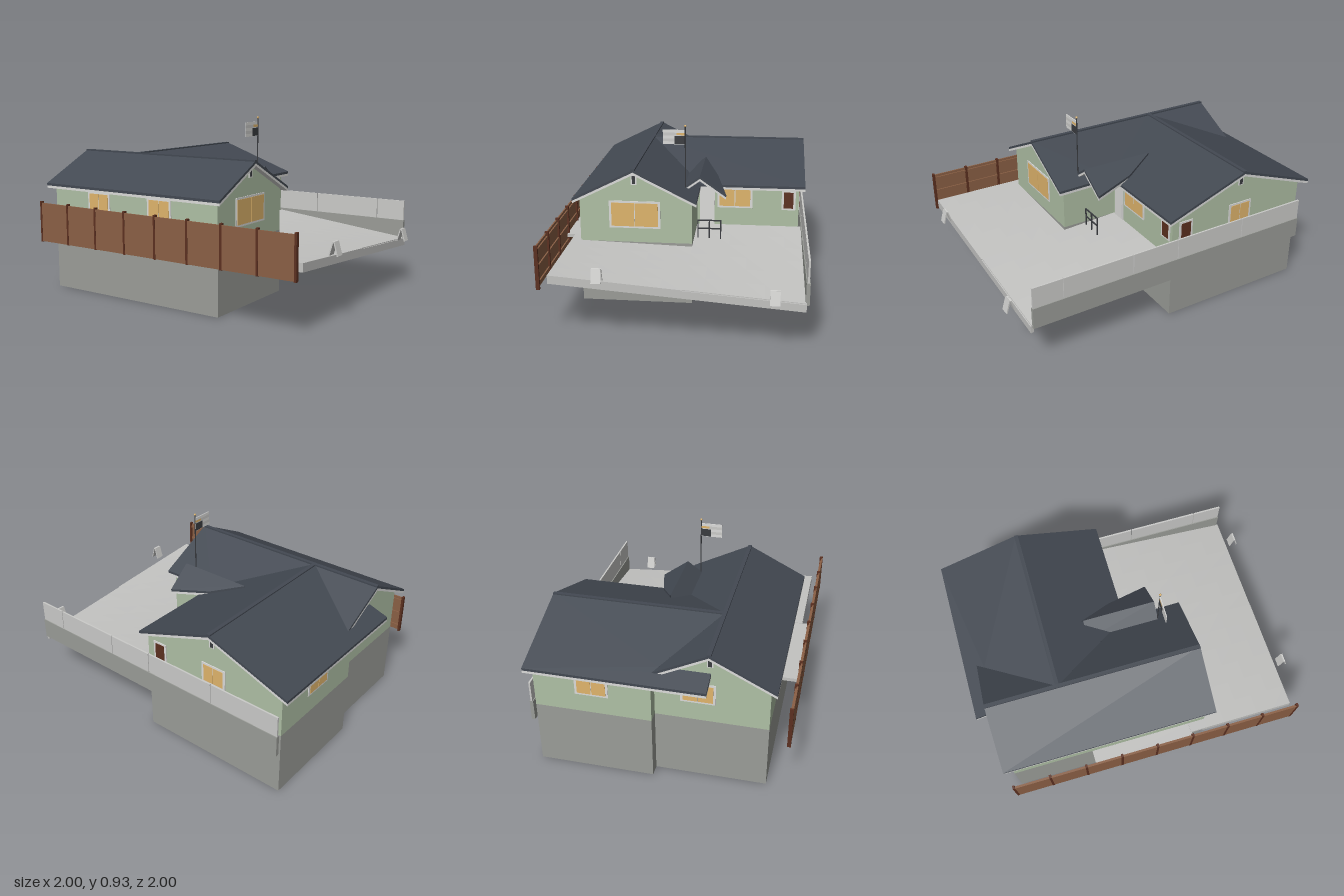
import * as THREE from 'three';

const mat = (name, color) => {
  const m = new THREE.MeshStandardMaterial({ color });
  m.name = name;
  return m;
};

// Plan coordinates: u runs along the front of the house, v runs towards the back.
export function createModel() {
  const M = {
    roof: mat('slate roof', 0x434952), wall: mat('sage siding', 0xafc0a5),
    base: mat('foundation grey', 0x9b9d98), slab: mat('pale concrete', 0xc3c3c1),
    rail: mat('light panel', 0xcbcbc9), trim: mat('white trim', 0xdcdcda),
    glass: mat('warm glass', 0xe0b56c), door: mat('dark red brown', 0x5c3020),
    wood: mat('fence brown', 0x8b6045), metal: mat('dark metal', 0x3a3c40),
  };
  const root = new THREE.Group();
  root.name = 'house';
  const plan = new THREE.Group();
  plan.name = 'plot';
  plan.rotation.y = -0.6387;
  root.add(plan);

  const add = (name, geo, m, parent = plan) => {
    const mesh = new THREE.Mesh(geo, m);
    mesh.name = name;
    parent.add(mesh);
    return mesh;
  };
  // Box between plan limits
  const box = (name, u0, u1, y0, y1, v0, v1, m) => {
    const b = add(name, new THREE.BoxGeometry(u1 - u0, y1 - y0, v1 - v0), m);
    b.position.set((u0 + u1) / 2, (y0 + y1) / 2, -(v0 + v1) / 2);
    return b;
  };
  // Prism on a plan polygon, between two height functions
  const prism = (name, poly, top, bottom, m) => {
    const p = poly.map(([u, v]) => new THREE.Vector2(u, v));
    if (THREE.ShapeUtils.isClockWise(p)) p.reverse();
    const pos = [];
    const put = (q, f) => pos.push(q.x, f(q.x, q.y), -q.y);
    for (const [a, b, c] of THREE.ShapeUtils.triangulateShape(p, [])) {
      [a, b, c].forEach(i => put(p[i], top));
      [c, b, a].forEach(i => put(p[i], bottom));
    }
    p.forEach((a, i) => {
      const b = p[(i + 1) % p.length];
      put(a, bottom); put(b, bottom); put(b, top);
      put(a, bottom); put(b, top); put(a, top);
    });
    const g = new THREE.BufferGeometry();
    g.setAttribute('position', new THREE.Float32BufferAttribute(pos, 3));
    g.computeVertexNormals();
    return add(name, g, m);
  };
  const rect = (u0, u1, v0, v1) => [[u0, v0], [u1, v0], [u1, v1], [u0, v1]];

  // Foundations
  const RV = -0.266, RU = -0.411;
  box('wingFoundation', -0.75, 0.31, 0, 0.335, -0.55, 0.03, M.base);
  box('mainFoundation', -0.81, 0, 0, 0.335, 0, 0.58, M.base);

  // Roof planes and walls below them
  const wingH = (u, v) => 0.73 - 0.5 * Math.abs(v - RV);
  const mainH = (u, v) => 0.73 - 0.355 * Math.abs(u - RU);
  const porchH = (u, v) => 0.665 - 0.72 * Math.abs(v - 0.06);
  const floor = () => 0.335;
  const under = (f, d) => (u, v) => f(u, v) - d;
  for (const [a, b] of [[-0.55, RV], [RV, 0.03]])
    prism('wingWalls', rect(-0.75, 0.31, a, b), under(wingH, 0.02), floor, M.wall);
  for (const [a, b] of [[-0.81, RU], [RU, 0]])
    prism('mainWalls', rect(a, b, 0, 0.58), under(mainH, 0.02), floor, M.wall);

  const roofPlane = (name, poly, h) => {
    prism(name, poly, h, under(h, 0.013), M.roof);
    prism(name + 'Fascia', poly, under(h, 0.013), under(h, 0.026), M.trim);
  };
  roofPlane('wingRoofFront', rect(-0.787, 0.343, -0.582, RV), wingH);
  roofPlane('wingRoofBack', [[0.343, RV], [0.343, 0.055], [0.033, 0.05], [RU, RV]], wingH);
  roofPlane('wingRoofCorner', [[RU, RV], [-0.787, 0.002], [-0.787, RV]], wingH);
  roofPlane('mainRoofEast', [[RU, RV], [0.033, 0.05], [0.033, 0.61], [RU, 0.61]], mainH);
  roofPlane('mainRoofWest', [[RU, 0.61], [-0.855, 0.61], [-0.855, -0.27],
    [-0.75, -0.27], [-0.75, -0.025], [RU, RV]], mainH);
  roofPlane('porchRoofBack', [[-0.2, 0.06], [0.2, 0.06], [0.193, 0.197], [-0.03, 0.14]], porchH);
  roofPlane('porchRoofFront', rect(-0.19, 0.2, -0.025, 0.06), porchH);
  // Ridge caps
  box('wingRidge', -0.787, 0.343, 0.722, 0.733, RV - 0.01, RV + 0.01, M.roof);
  box('mainRidge', RU - 0.01, RU + 0.01, 0.722, 0.733, RV, 0.61, M.roof);

  // Wall openings, turned to face out of their wall
  const FRONT = 0, EAST = Math.PI / 2, BACK = Math.PI, WEST = -Math.PI / 2;
  const opening = (name, u, v, face, y0, y1, w, m, panes) => {
    const g = new THREE.Group();
    g.name = name;
    g.position.set(u, (y0 + y1) / 2, -v);
    g.rotation.y = face;
    plan.add(g);
    const h = y1 - y0, t = Math.min(0.01, w * 0.15), pw = (w - t * 2) / panes;
    add('frame', new THREE.BoxGeometry(w, h, 0.008), M.trim, g);
    for (let i = 0; i < panes; i++) {
      const p = add('pane', new THREE.BoxGeometry(pw - 0.004, h - t * 2, 0.008), m, g);
      p.position.set((i - (panes - 1) / 2) * pw, 0, 0.002);
    }
  };
  opening('frontWindow', -0.438, -0.55, FRONT, 0.44, 0.545, 0.15, M.glass, 2);
  opening('frontWindow', -0.04, -0.55, FRONT, 0.44, 0.545, 0.15, M.glass, 2);
  opening('gableWindow', 0.31, -0.265, EAST, 0.412, 0.557, 0.265, M.glass, 2);
  opening('courtWindow', 0, 0.235, EAST, 0.435, 0.55, 0.19, M.glass, 2);
  opening('courtHatch', 0, 0.525, EAST, 0.43, 0.54, 0.075, M.door, 1);
  opening('porchDoor', 0, 0.085, EAST, 0.335, 0.55, 0.08, M.trim, 1);
  opening('backHatch', -0.08, 0.58, BACK, 0.42, 0.535, 0.08, M.door, 1);
  opening('backWindow', -0.418, 0.58, BACK, 0.435, 0.545, 0.14, M.glass, 2);
  opening('westWindow', -0.81, 0.29, WEST, 0.435, 0.545, 0.165, M.glass, 2);
  opening('westWindow', -0.75, -0.21, WEST, 0.435, 0.545, 0.17, M.glass, 2);
  // Gable vents
  opening('vent', 0.31, RV, EAST, 0.645, 0.695, 0.03, M.metal, 1);
  opening('vent', -0.75, RV, WEST, 0.645, 0.695, 0.03, M.metal, 1);
  opening('vent', RU, 0.58, BACK, 0.645, 0.695, 0.03, M.metal, 1);

  // Twisted driveway, built from strips
  const ground = (u, v) => 0.336 - 0.09 * ((v + 0.6) / 1.2) * Math.max(0, u / 0.785)
    + 0.006 * Math.max(0, u);
  const strip = (u0, u1, v0, v1, n) => {
    for (let i = 0; i < n; i++) for (let j = 0; j < n; j++) {
      const a = k => u0 + (u1 - u0) * k / n, b = k => v0 + (v1 - v0) * k / n;
      prism('driveway', rect(a(i), a(i + 1), b(j), b(j + 1)), ground, under(ground, 0.02), M.slab);
    }
  };
  strip(0.22, 0.79, -0.6, 0.03, 6);
  strip(0, 0.785, 0.03, 0.6, 6);
  // Edge beams
  const beam = (u0, u1, v0, v1) =>
    prism('edgeBeam', rect(u0, u1, v0, v1), under(ground, 0.004), under(ground, 0.042), M.slab);
  beam(0.29, 0.79, -0.6, -0.585);
  beam(0.29, 0.785, 0.03, 0.05);
  for (let i = 0; i < 8; i++) beam(0.775, 0.79, -0.6 + i * 0.15, -0.45 + i * 0.15);
  box('sidePath', -0.32, 0.225, 0.316, 0.334, -0.645, -0.55, M.slab);

  // Retaining wall with panel rail
  box('retainingWall', -0.81, 0.78, 0.237, 0.347, 0.595, 0.613, M.base);
  const cuts = [-0.81, -0.42, -0.02, 0.24, 0.62, 0.78];
  for (let i = 0; i < cuts.length - 1; i++)
    box('railPanel', cuts[i] + 0.002, cuts[i + 1] - 0.002, 0.347, 0.456, 0.6, 0.609, M.rail);

  // Timber fence
  const N = 8, F0 = -0.761, FW = 1.544 / N;
  for (let i = 0; i <= N; i++) {
    const u = F0 + i * FW;
    box('fencePost', u - 0.006, u + 0.006, 0.265, 0.483, -0.656, -0.638, M.door);
    if (i === N) break;
    box('fencePanel', u + 0.004, u + FW - 0.004, 0.268, 0.475, -0.655, -0.648, M.wood);
    for (const y of [0.29, 0.37, 0.45])
      box('fenceRail', u, u + FW, y, y + 0.012, -0.648, -0.641, M.wood);
  }

  // Porch railing
  for (const v of [0.05, 0.11, 0.17])
    box('porchRailPost', 0.186, 0.192, 0.31, 0.425, v - 0.003, v + 0.003, M.metal);
  for (const y of [0.375, 0.42])
    box('porchRailBar', 0.186, 0.192, y, y + 0.006, 0.05, 0.17, M.metal);

  // Folding boards by the kerb
  for (const [u, v, y] of [[0.826, -0.358, 0.333], [0.83, 0.456, 0.262]])
    for (const s of [-1, 1]) {
      const b = box('foldingBoard', u - 0.003, u + 0.003, y, y + 0.068, v - 0.023, v + 0.023, M.rail);
      b.position.x += s * 0.012;
      b.rotation.z = s * 0.28;
    }

  // Flagpole and striped flag
  const pole = add('flagpole', new THREE.CylinderGeometry(0.003, 0.003, 0.36, 8), M.metal);
  pole.position.set(0.198, 0.745, 0.015);
  const tip = add('poleTip', new THREE.SphereGeometry(0.006, 8, 6), M.glass);
  tip.position.set(0.198, 0.928, 0.015);
  for (let i = 0; i < 5; i++)
    box('flagStripe', 0.195, 0.199, 0.832 + i * 0.015, 0.847 + i * 0.015, -0.13, -0.018,
      i % 2 ? M.rail : M.trim);
  box('flagCorner', 0.194, 0.2, 0.834, 0.875, -0.07, -0.018, M.metal);
  box('flagBand', 0.194, 0.2, 0.88, 0.892, -0.06, -0.018, M.glass);
  return root;
}
